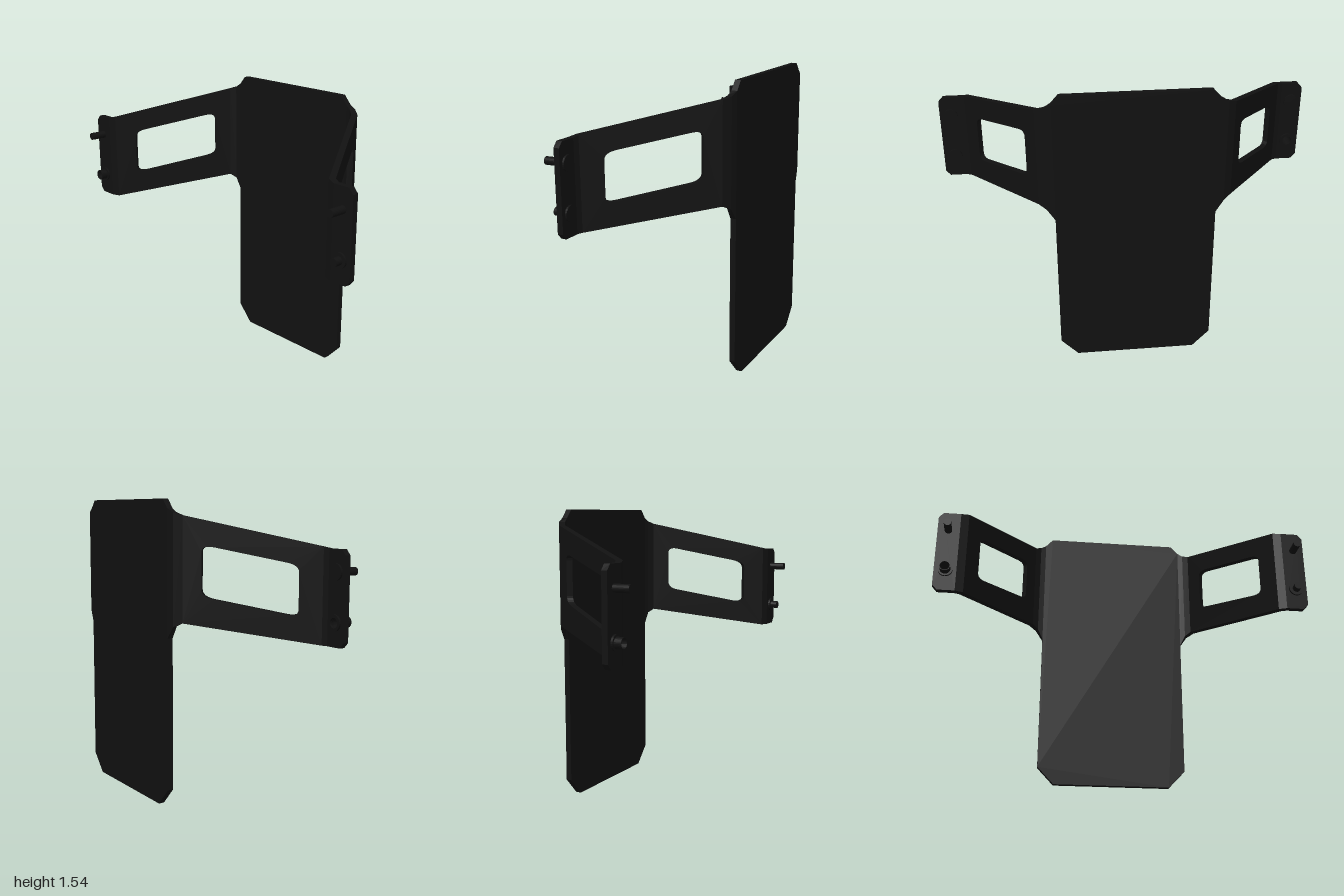
import * as THREE from 'three';

const material = new THREE.MeshStandardMaterial({ color: 0x111111, side: THREE.DoubleSide });
const T = 0.03; // sheet thickness

// Fold stations along one wing: z, x of the sheet's middle, lower and upper edge
const stations = [
  { z: 0.41, x: 0.345, lo: 0.865, hi: 1.495 },
  { z: 0.445, x: 0.338, lo: 0.925, hi: 1.475 },
  { z: 0.48, x: 0.313, lo: 0.945, hi: 1.46 },
  { z: 0.85, x: -0.247, lo: 0.84, hi: 1.313 },
  { z: 0.885, x: -0.26, lo: 0.84, hi: 1.305 },
  { z: 1.0, x: -0.26 },
];

// Mitred offset direction at each station, as (x, z)
const segNormal = (a, b) => new THREE.Vector2(b.z - a.z, a.x - b.x).normalize();
const miters = stations.map((s, i) => {
  if (i === 0 || i === stations.length - 1) return new THREE.Vector2(1, 0);
  const n0 = segNormal(stations[i - 1], s);
  const n1 = segNormal(s, stations[i + 1]);
  const m = n0.clone().add(n1).normalize();
  return m.divideScalar(m.dot(n1));
});

const polygon = (pts) => new THREE.Shape(pts.map(([a, b]) => new THREE.Vector2(a, b)));

// Closed path with rounded corners
function roundedPath(pts, r) {
  const path = new THREE.Path();
  const v = pts.map(([a, b]) => new THREE.Vector2(a, b));
  v.forEach((p, i) => {
    const toward = (q) => p.clone().add(q.clone().sub(p).setLength(r));
    const a = toward(v[(i + v.length - 1) % v.length]);
    const b = toward(v[(i + 1) % v.length]);
    if (i === 0) path.moveTo(a.x, a.y); else path.lineTo(a.x, a.y);
    path.quadraticCurveTo(p.x, p.y, b.x, b.y);
  });
  path.closePath();
  return path;
}

// Extrudes a (z, y) outline and lays it onto fold segment i of the wing on one side
function foldedSheet(shape, i, side, name) {
  const geo = new THREE.ExtrudeGeometry(shape, { depth: 1, bevelEnabled: false, curveSegments: 6 });
  const pos = geo.attributes.position;
  const a = stations[i], b = stations[i + 1];
  for (let k = 0; k < pos.count; k++) {
    const t = (pos.getX(k) - a.z) / (b.z - a.z);
    const off = side * (0.5 - pos.getZ(k)) * T;
    const m = miters[i].clone().lerp(miters[i + 1], t);
    const x = THREE.MathUtils.lerp(a.x, b.x, t) + m.x * off;
    const z = pos.getX(k) + m.y * off;
    pos.setXYZ(k, x, pos.getY(k), side * z);
  }
  geo.computeVertexNormals();
  const mesh = new THREE.Mesh(geo, material);
  mesh.name = name;
  return mesh;
}

// Cylinder or ring along x between x0 and x1
function fastener(r, hole, x0, x1, y, z, name) {
  const pts = [[hole, x0], [r, x0], [r, x1], [hole, x1]];
  if (hole > 0) pts.push([hole, x0]);
  const profile = pts.map(([a, b]) => new THREE.Vector2(a, b));
  // doubled profile corners keep the edges crisp
  const geo = new THREE.LatheGeometry(profile, 24).toNonIndexed();
  geo.computeVertexNormals();
  geo.rotateZ(-Math.PI / 2);
  const mesh = new THREE.Mesh(geo, material);
  mesh.position.set(0, y, z);
  mesh.name = name;
  return mesh;
}

function buildWing(side) {
  const wing = new THREE.Group();
  wing.name = side > 0 ? 'leftWing' : 'rightWing';
  const names = ['innerBend', 'innerBend', 'arm', 'outerBend'];
  names.forEach((name, i) => {
    const a = stations[i], b = stations[i + 1];
    const shape = polygon([[a.z, a.lo], [b.z, b.lo], [b.z, b.hi], [a.z, a.hi]]);
    // window in the arm
    if (name === 'arm') {
      shape.holes.push(roundedPath([[0.53, 1.073], [0.53, 1.322], [0.787, 1.226], [0.787, 0.978]], 0.035));
    }
    wing.add(foldedSheet(shape, i, side, name));
  });

  // mounting tab with clipped corners and a lower hole
  const tab = polygon([[0.885, 0.84], [0.975, 0.84], [1, 0.868], [1, 1.277], [0.975, 1.305], [0.885, 1.305]]);
  const hole = new THREE.Path();
  hole.absarc(0.94, 0.958, 0.026, 0, Math.PI * 2, true);
  tab.holes.push(hole);
  wing.add(foldedSheet(tab, 4, side, 'mountingTab'));

  // upper stud and its head
  const z = side * 0.943;
  wing.add(fastener(0.02, 0, -0.36, -0.25, 1.198, z, 'upperStud'));
  wing.add(fastener(0.04, 0, -0.25, -0.235, 1.198, z, 'upperStudHead'));

  // lower fastener: solid on the left, a hollow sleeve on the right
  const bore = side > 0 ? 0 : 0.025;
  const zl = side * 0.94;
  wing.add(fastener(side > 0 ? 0.021 : 0.028, bore, -0.322, -0.25, 0.958, zl, 'lowerSleeve'));
  wing.add(fastener(0.038, bore, -0.285, -0.27, 0.958, zl, 'lowerCollar'));
  wing.add(fastener(0.04, bore, -0.25, -0.235, 0.958, zl, 'lowerHead'));
  return wing;
}

export function createModel() {
  const model = new THREE.Group();
  model.name = 'bracket';

  // main plate, symmetric about z = 0
  const half = [[0.32, 0], [0.41, 0.095], [0.41, 1.495], [0.37, 1.54]];
  const outline = [...half, ...half.map(([z, y]) => [-z, y]).reverse()];
  const geo = new THREE.ExtrudeGeometry(polygon(outline), { depth: T, bevelEnabled: false });
  geo.rotateY(-Math.PI / 2);
  geo.translate(0.345 + T / 2, 0, 0);
  const plate = new THREE.Mesh(geo, material);
  plate.name = 'mainPlate';
  model.add(plate);

  for (const side of [1, -1]) model.add(buildWing(side));
  return model;
}
